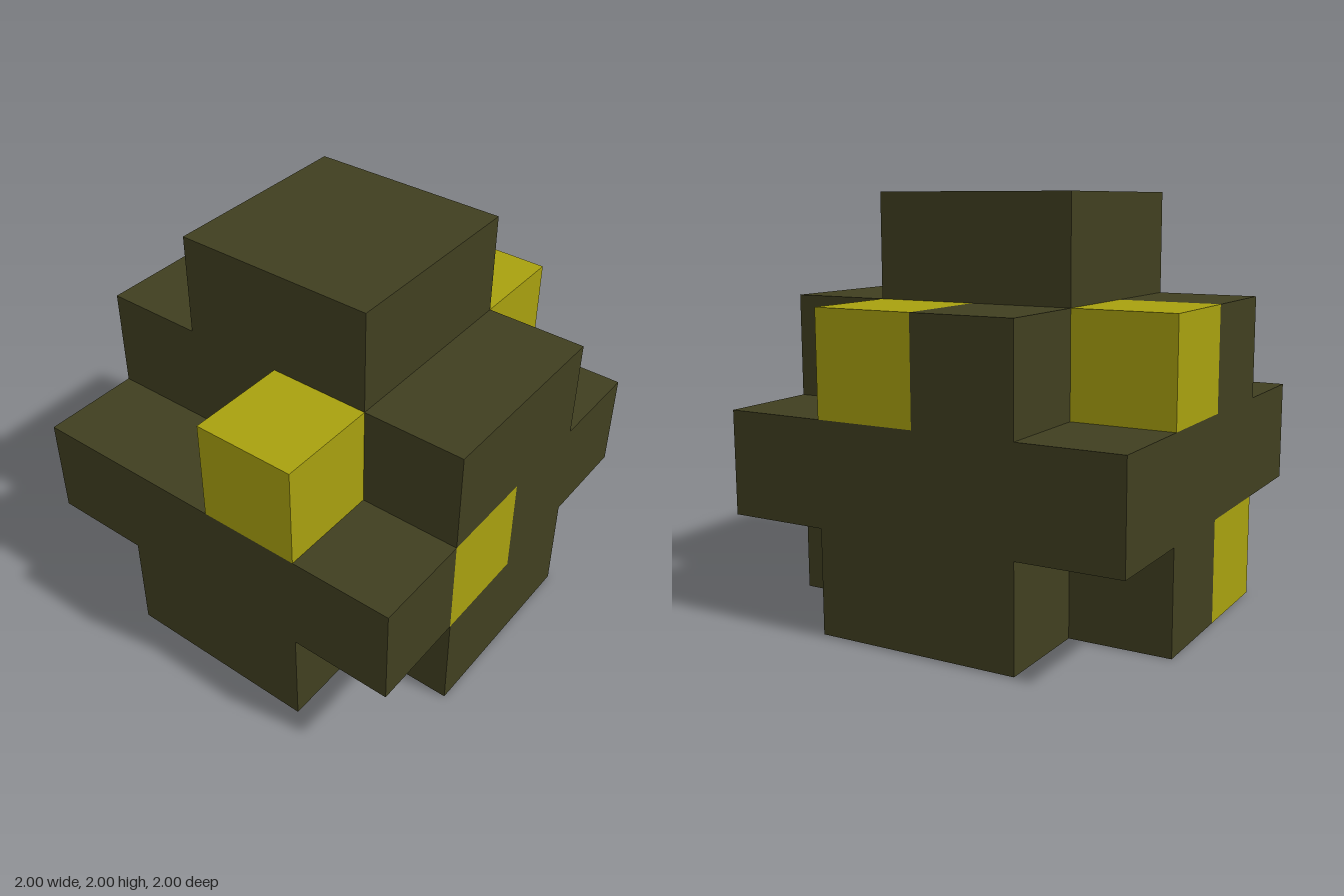
import * as THREE from 'three';

const CELL = 0.5; // the model is a 4 x 4 x 4 grid of half-unit blocks

export function createModel() {
  const group = new THREE.Group();
  group.name = 'blockBush';

  const paint = (name, color) => {
    const m = new THREE.MeshStandardMaterial({ color });
    m.name = name;
    return m;
  };
  const leaf = paint('dark olive leaf', 0x403f20);
  const fruit = paint('yellow fruit', 0xa8a00f);
  const bark = paint('brown bark', 0x452b25);

  // Box filling grid cells: from = [x, y, z] lowest cell, size = cells along each axis
  const block = (name, material, from, size = [1, 1, 1]) => {
    const [w, h, d] = size.map((n) => n * CELL);
    const mesh = new THREE.Mesh(new THREE.BoxGeometry(w, h, d), material);
    mesh.position.set(
      from[0] * CELL - 1 + w / 2,
      from[1] * CELL + h / 2,
      from[2] * CELL - 1 + d / 2
    );
    mesh.name = name;
    group.add(mesh);
  };

  // Bottom layer: a cross around the trunk
  block('trunk', bark, [1, 0, 1], [2, 1, 2]);
  block('bottomFrontLeaves', leaf, [1, 0, 3], [2, 1, 1]);
  block('bottomBackLeaves', leaf, [1, 0, 0], [2, 1, 1]);
  block('bottomLeftLeaves', leaf, [3, 0, 1], [1, 1, 2]);
  block('bottomRightLeaves', leaf, [0, 0, 1]);

  // Second layer: full square with one fruit set into its side
  block('wideLeaves', leaf, [0, 1, 0], [3, 1, 4]);
  block('wideLeavesBackEdge', leaf, [3, 1, 0], [1, 1, 2]);
  block('wideLeavesFrontCorner', leaf, [3, 1, 3]);

  // Third layer: core with uneven arms
  block('upperLeaves', leaf, [1, 2, 1], [3, 1, 2]);
  block('upperRightLeaves', leaf, [0, 2, 2]);
  block('upperBackLeaves', leaf, [1, 2, 0]);

  // Crown
  block('crown', leaf, [1, 3, 1], [2, 1, 2]);

  // Fruit blocks
  const fruits = {
    bottomFruit: [0, 0, 2],
    sideFruit: [3, 1, 2],
    upperRightFruit: [0, 2, 1],
    upperBackFruit: [2, 2, 0],
    upperFrontFruit: [2, 2, 3],
  };
  for (const [name, cell] of Object.entries(fruits)) block(name, fruit, cell);

  return group;
}
